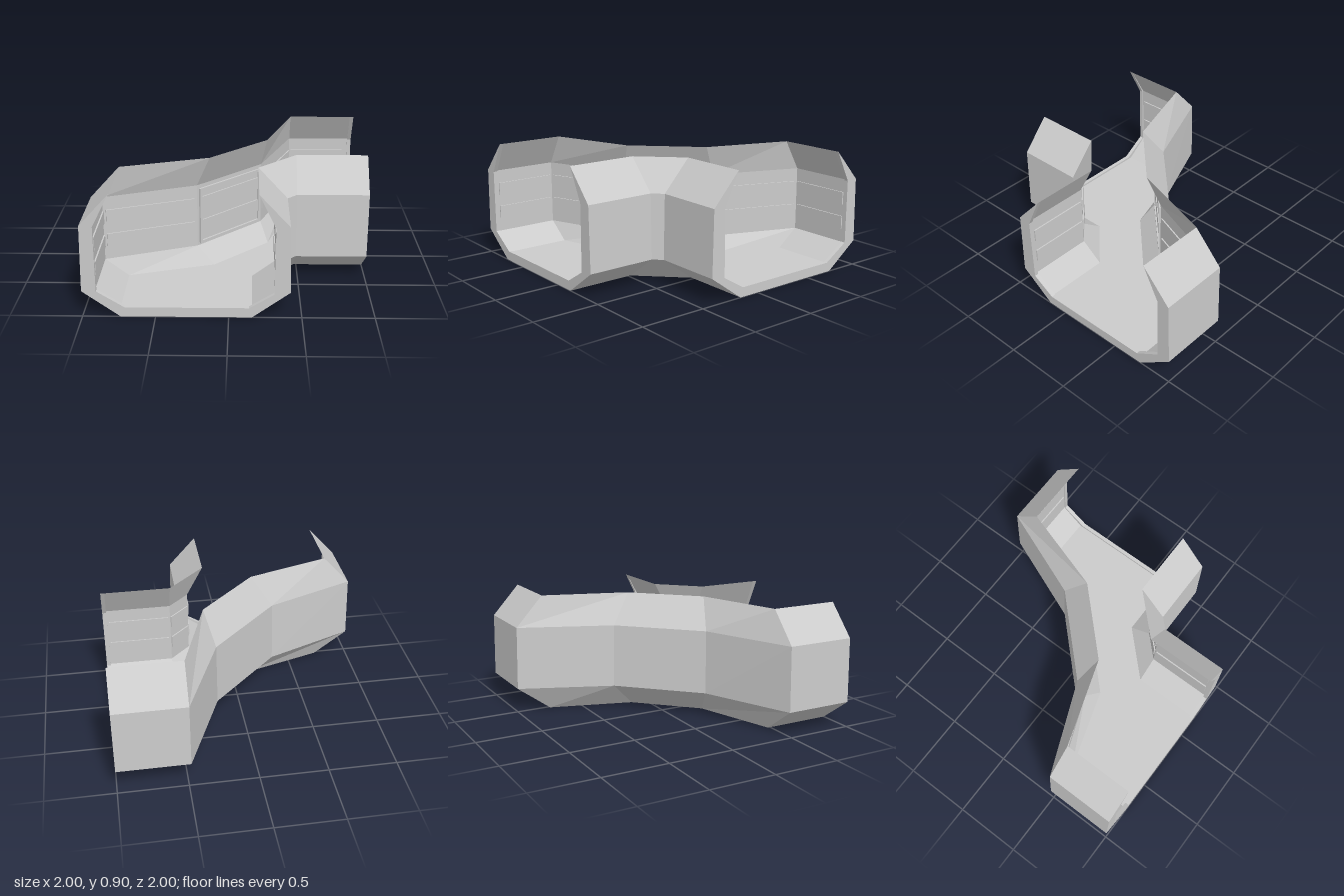
import * as THREE from 'three';

const END = 0.97; // where the swept walls meet the end frames

// Plan positions along each wall for a sideways offset s (mirrored about x = z)
const mirrored = (half) => [...half, ...half.slice().reverse().map(([x, z]) => [z, x])];
const outerPlan = (s) => mirrored([
  [s, END], [s, 0.48], [-0.15 + 0.75 * (s + 0.78), 0.275 + 0.34 * (s + 0.78)],
]);
const innerPlan = (s) => mirrored([[s, END], [s, 0.48]]);

// Wall cross-sections as [offset, height]
const outerProfile = [
  [-0.74, 0], [-1, 0.19], [-0.99, 0.67], [-0.78, 0.9], [-0.91, 0.67], [-0.91, 0.185], [-0.74, 0.055],
];
const innerProfile = [
  [0.16, 0.055], [0.325, 0.18], [0.325, 0.67], [0.2, 0.9], [0.41, 0.67], [0.42, 0.19], [0.16, 0],
];
const frameOutline = [
  [-0.78, 0.9], [-0.99, 0.67], [-1, 0.19], [-0.74, 0], [0.16, 0], [0.42, 0.19], [0.41, 0.67], [0.2, 0.9],
  [0.315, 0.66], [0.31, 0.175], [0.14, 0.07], [-0.71, 0.07], [-0.9, 0.19], [-0.9, 0.665],
];

export function createModel() {
  const group = new THREE.Group();
  const material = new THREE.MeshStandardMaterial({ color: 0xcccccc, flatShading: true });

  const add = (name, geometry, parent = group) => {
    const mesh = new THREE.Mesh(geometry, material);
    mesh.name = name;
    parent.add(mesh);
    return mesh;
  };

  // Sweep a cross-section along a wall's plan
  const sweep = (profile, plan) => {
    const rows = profile.map(([s, y]) => plan(s).map(([x, z]) => [x, y, z]));
    const positions = [];
    for (let j = 0; j < rows.length - 1; j++) {
      for (let i = 0; i < rows[j].length - 1; i++) {
        const a = rows[j][i], b = rows[j + 1][i], c = rows[j][i + 1], d = rows[j + 1][i + 1];
        positions.push(...a, ...b, ...c, ...b, ...d, ...c);
      }
    }
    const geometry = new THREE.BufferGeometry();
    geometry.setAttribute('position', new THREE.Float32BufferAttribute(positions, 3));
    geometry.computeVertexNormals();
    return geometry;
  };

  add('outerWall', sweep(outerProfile, outerPlan));
  add('innerWall', sweep(innerProfile, innerPlan));

  // Floor slab between the two walls
  const corners = [...outerPlan(-0.74), ...innerPlan(0.16).reverse()];
  const floorShape = new THREE.Shape(corners.map(([x, z]) => new THREE.Vector2(x, -z)));
  add('floor', new THREE.ExtrudeGeometry(floorShape, { depth: 0.055, bevelEnabled: false }).rotateX(-Math.PI / 2));

  // Frames around the two open ends
  const frame = (flip) => {
    const shape = new THREE.Shape(frameOutline.map(([s, y]) => new THREE.Vector2(s * flip, y)));
    return new THREE.ExtrudeGeometry(shape, { depth: 0.03, bevelEnabled: false }).translate(0, 0, END);
  };
  add('frontEndFrame', frame(1));
  add('leftEndFrame', frame(-1).rotateY(Math.PI / 2));

  // Raised strips on the interior walls, one set per straight run
  const strip = (parent, name, [ax, az], [bx, bz], y0, y1, t0, t1, depth) => {
    const length = Math.hypot(bx - ax, bz - az);
    const mid = (t0 + t1) / 2;
    const mesh = add(name, new THREE.BoxGeometry(length * (t1 - t0), y1 - y0, depth), parent);
    mesh.position.set(ax + (bx - ax) * mid, (y0 + y1) / 2, az + (bz - az) * mid);
    mesh.rotation.y = -Math.atan2(bz - az, bx - ax);
  };
  const planks = new THREE.Group();
  planks.name = 'wallPlanks';
  group.add(planks);
  for (const points of [outerPlan(-0.91), innerPlan(0.325)]) {
    for (let i = 0; i < points.length - 1; i++) {
      for (const y of [0.29, 0.475]) {
        strip(planks, 'plank', points[i], points[i + 1], y, y + 0.095, 0.03, 0.97, 0.02);
      }
    }
  }

  // Border around the diagonal wall panel
  const border = new THREE.Group();
  border.name = 'diagonalPanelBorder';
  group.add(border);
  const [a, b] = outerPlan(-0.91).slice(2, 4);
  strip(border, 'bottomRail', a, b, 0.2, 0.22, 0.04, 0.96, 0.03);
  strip(border, 'topRail', a, b, 0.62, 0.64, 0.04, 0.96, 0.03);
  strip(border, 'rightPost', a, b, 0.2, 0.64, 0.03, 0.06, 0.03);
  strip(border, 'leftPost', a, b, 0.2, 0.64, 0.94, 0.97, 0.03);

  return group;
}
